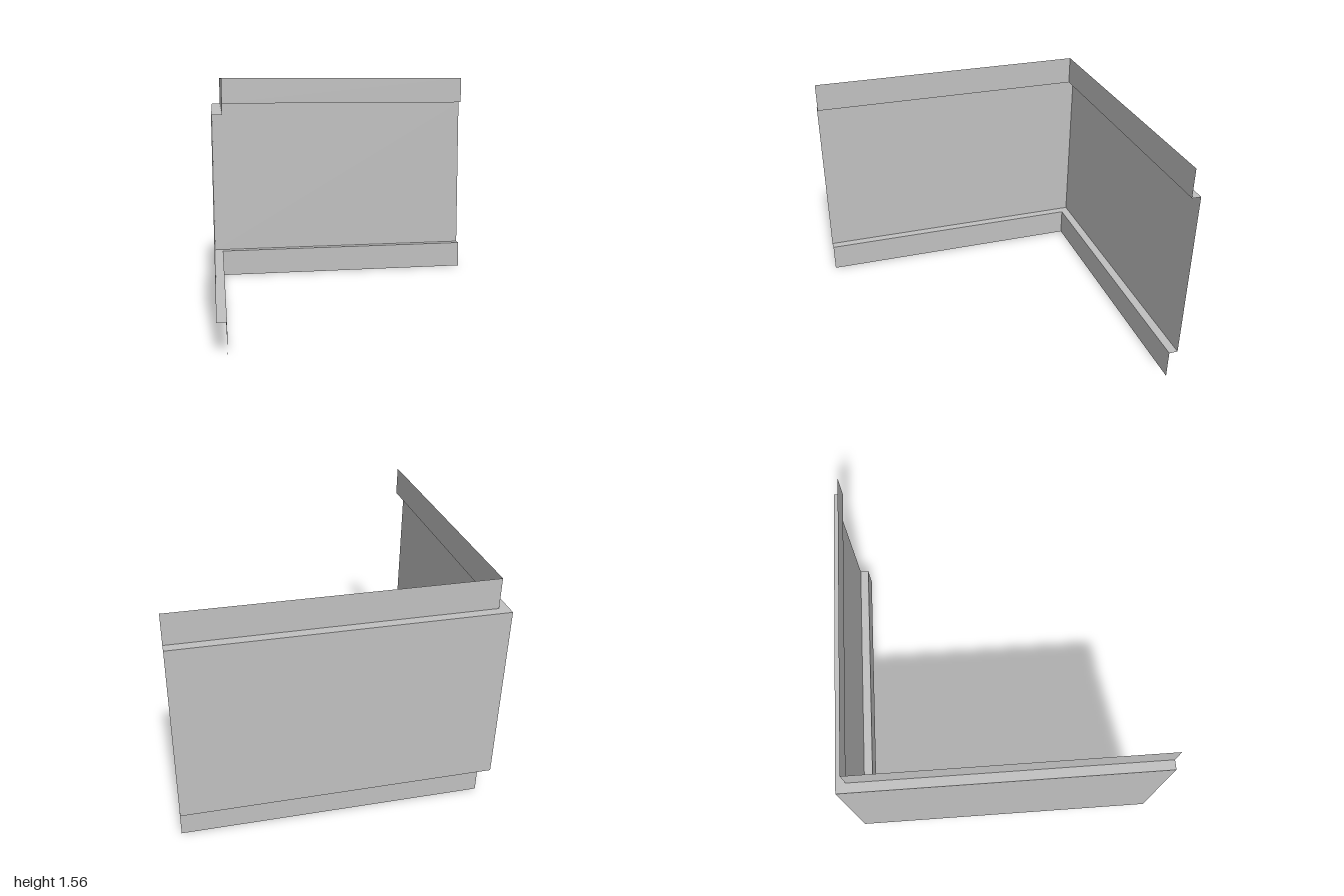
import * as THREE from 'three';

// Stepped sheet profile: [plan offset of the sheet, height]
const PROFILE = [
  [-0.94, 0], [-0.94, 0.195], [-1, 0.195],
  [-1, 1.362], [-0.94, 1.362], [-0.94, 1.557],
];
const STRIPS = ['lowerFlange', 'lowerLedge', 'panel', 'upperLedge', 'upperFlange'];

// Flat four-cornered sheet
function quad(a, b, c, d) {
  const g = new THREE.BufferGeometry();
  g.setAttribute('position', new THREE.Float32BufferAttribute([a, b, c, a, c, d].flat(), 3));
  g.computeVertexNormals();
  return g;
}

export function createModel() {
  const model = new THREE.Group();
  model.name = 'cornerCladding';
  const sheetGrey = new THREE.MeshStandardMaterial({ color: 0xc0c0c0, side: THREE.DoubleSide });
  sheetGrey.name = 'sheetGrey';

  // Each wall sweeps the profile from one end to the other, mitred at the corner
  const walls = {
    sideWall: { start: (p, y) => [p, y, 1], end: (p, y) => [p, y, p] },
    backWall: { start: (p, y) => [p, y, p], end: (p, y) => [1, y, p] },
  };
  for (const [name, { start, end }] of Object.entries(walls)) {
    const wall = new THREE.Group();
    wall.name = name;
    STRIPS.forEach((strip, i) => {
      const lo = PROFILE[i], hi = PROFILE[i + 1];
      const mesh = new THREE.Mesh(quad(start(...lo), start(...hi), end(...hi), end(...lo)), sheetGrey);
      mesh.name = strip;
      wall.add(mesh);
    });
    model.add(wall);
  }
  return model;
}
